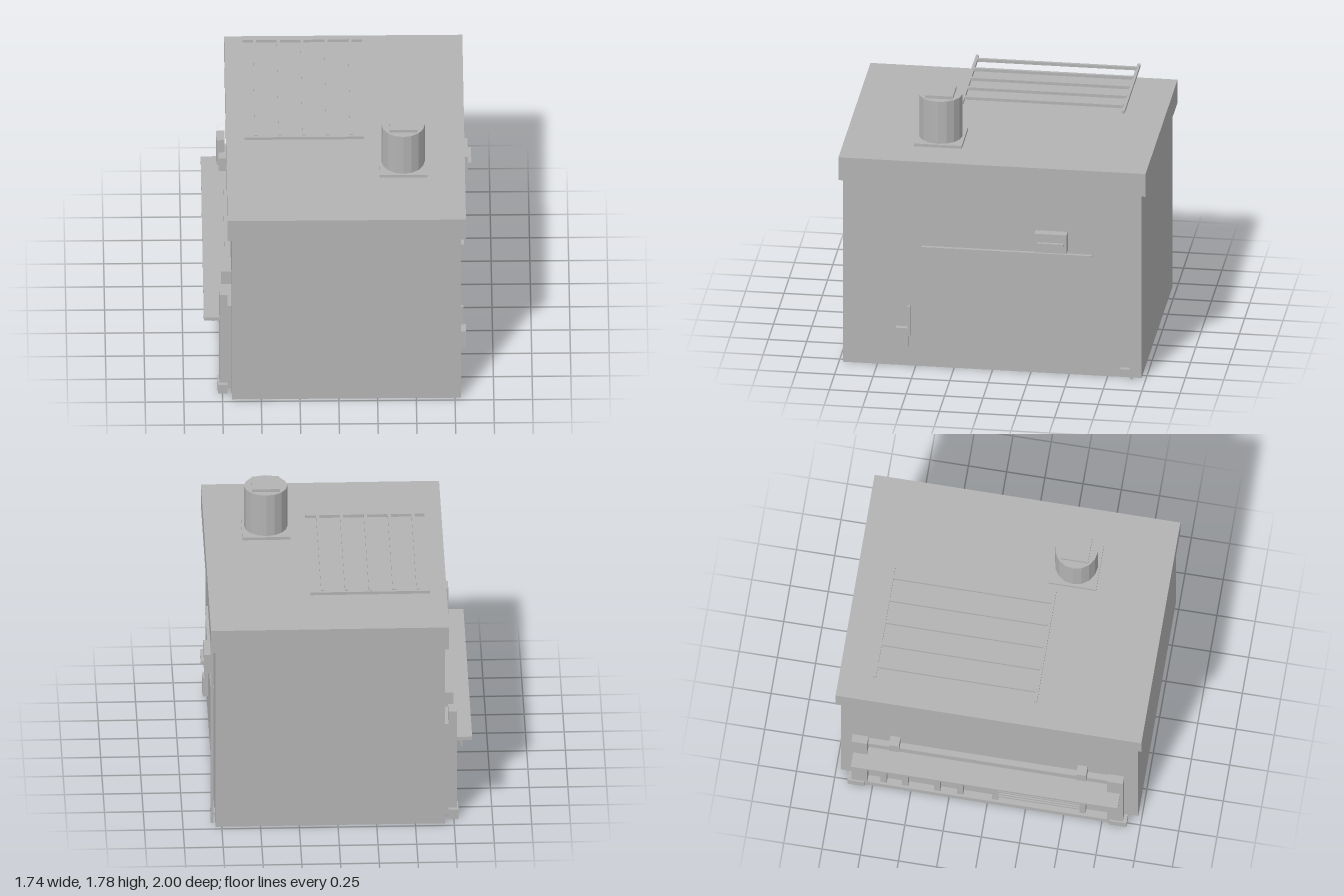
import * as THREE from 'three';

export function createModel() {
  const model = new THREE.Group();
  const grey = new THREE.MeshStandardMaterial({ color: 0xb3b3b3 });
  grey.name = 'plain grey';

  // Box given by its extents on each axis
  function block(name, [x0, x1], [y0, y1], [z0, z1], parent = model) {
    const mesh = new THREE.Mesh(new THREE.BoxGeometry(x1 - x0, y1 - y0, z1 - z0), grey);
    mesh.position.set((x0 + x1) / 2, (y0 + y1) / 2, (z0 + z1) / 2);
    mesh.name = name;
    parent.add(mesh);
    return mesh;
  }
  function group(name) {
    const g = new THREE.Group();
    g.name = name;
    model.add(g);
    return g;
  }

  // Main building
  block('walls', [-0.69, 0.79], [0, 1.29], [-0.97, 0.975]);
  block('roof', [-0.717, 0.82], [1.29, 1.45], [-1, 1]);

  // Chimney vent
  const vent = group('roofVent');
  block('ventBase', [0.267, 0.577], [1.45, 1.47], [0.23, 0.54], vent);
  const drumGeometry = new THREE.CylinderGeometry(0.14, 0.14, 0.295, 16).toNonIndexed();
  drumGeometry.computeVertexNormals();
  const drum = new THREE.Mesh(drumGeometry, grey);
  drum.name = 'ventDrum';
  drum.position.set(0.422, 1.6175, 0.387);
  vent.add(drum);
  block('ventCap', [0.332, 0.512], [1.765, 1.785], [0.297, 0.477], vent);

  // Raised rack over the roof
  const rack = group('roofRack');
  for (const z of [-0.765, 0.287]) {
    block('rackCrossBar', [-0.6, 0.17], [1.58, 1.6], [z - 0.01, z + 0.01], rack);
  }
  for (let i = 0; i < 5; i++) {
    const x = -0.525 + i * 0.154;
    block('rackLongBar', [x - 0.01, x + 0.01], [1.588, 1.608], [-0.758, 0.28], rack);
  }

  // Fittings on the +x wall
  const fittings = group('wallFittings');
  block('drainPipe', [0.803, 0.82], [0, 1.29], [-0.917, -0.9], fittings);
  block('drainFoot', [0.79, 0.82], [0.05, 0.067], [-0.9, -0.83], fittings);
  block('meterBox', [0.79, 0.848], [0.87, 1.0], [-0.49, -0.28], fittings);
  block('meterHandle', [0.848, 0.87], [0.925, 0.942], [-0.47, -0.3], fittings);
  block('conduit', [0.79, 0.813], [0.837, 0.848], [-0.65, 0.46], fittings);
  block('switchBox', [0.79, 0.825], [0.142, 0.275], [0.547, 0.627], fittings);
  block('switchPipe', [0.79, 0.81], [0.215, 0.42], [0.535, 0.555], fittings);

  // Shop front on the -x wall
  const shop = group('shopFront');
  block('backPanel', [-0.717, -0.69], [0.02, 0.68], [-0.88, 0.88], shop);
  block('topRail', [-0.73, -0.69], [0.64, 0.68], [-0.79, 0.79], shop);
  block('sill', [-0.765, -0.717], [0, 0.05], [-0.86, 0.86], shop);
  block('counter', [-0.87, -0.765], [0.555, 0.58], [-0.875, 0.87], shop);
  block('counterSupport', [-0.77, -0.717], [0.55, 0.58], [-0.86, 0.86], shop);
  for (const s of [-1, 1]) {
    const span = (a, b) => (s > 0 ? [a, b] : [-b, -a]);
    block('cornerPost', [-0.77, -0.717], [0, 0.775], span(0.785, 0.888), shop);
    block('postFoot', [-0.78, -0.717], [0, 0.07], span(0.8, 0.913), shop);
    block('railBlock', [-0.757, -0.69], [0.68, 0.782], span(0.58, 0.645), shop);
    block('counterBracket', [-0.815, -0.8], [0.415, 0.555], span(0.655, 0.685), shop);
  }
  // Upright battens between sill and counter
  for (const z of [-0.68, -0.54, -0.33, -0.18, 0.05, 0.62]) {
    block('batten', [-0.75, -0.717], [0.05, 0.555], [z - 0.02, z + 0.02], shop);
  }
  // Louvred vent
  for (let i = 0; i < 9; i++) {
    const y = 0.08 + i * 0.042;
    block('louvreSlat', [-0.74, -0.717], [y, y + 0.018], [0.07, 0.6], shop);
  }

  return model;
}
